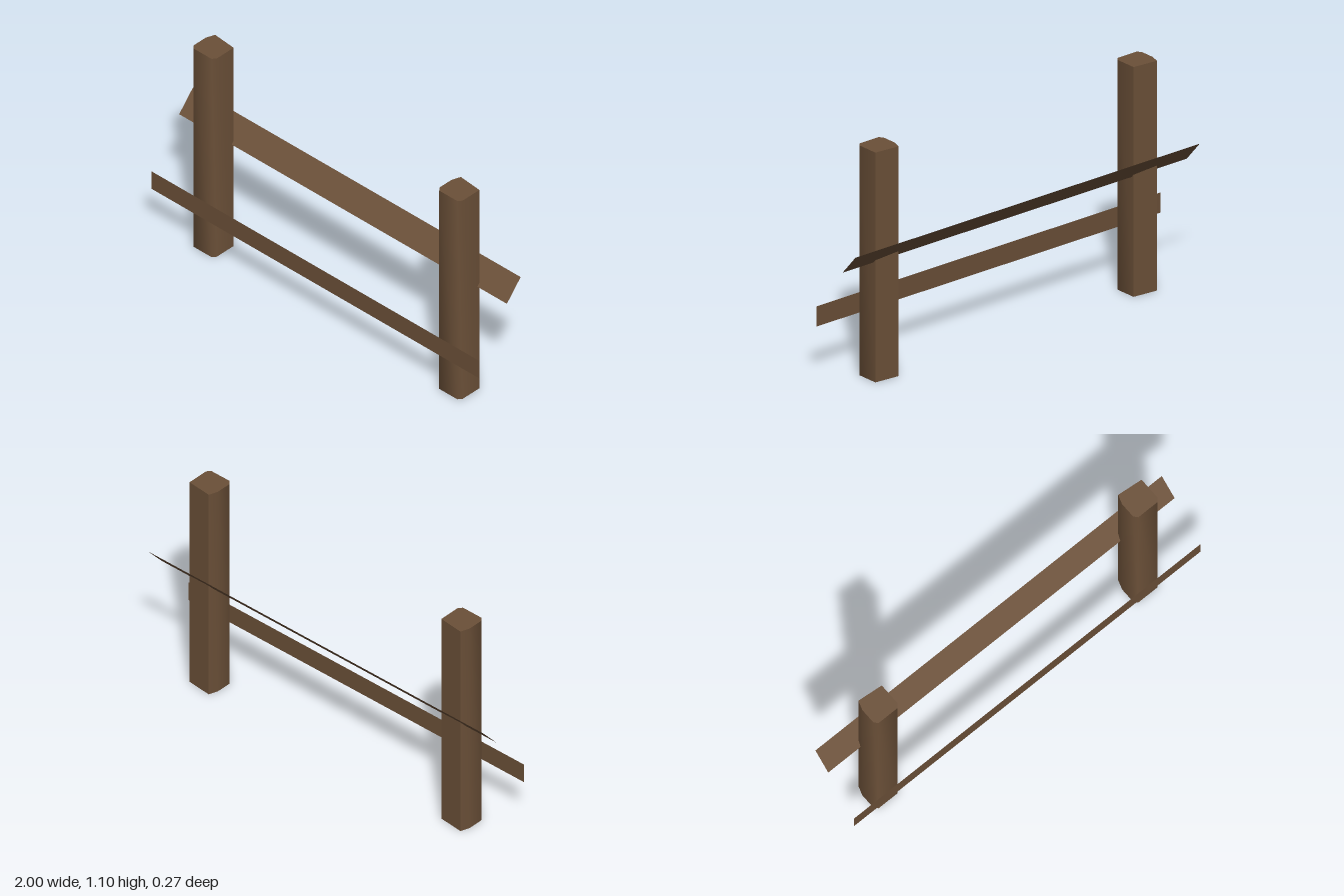
import * as THREE from 'three';
import { toCreasedNormals } from 'three/addons/utils/BufferGeometryUtils.js';

const wood = new THREE.MeshStandardMaterial({ color: 0x6b5038 });
const plankWood = new THREE.MeshStandardMaterial({ color: 0x6b5038, side: THREE.DoubleSide });

// Upright post: slightly uneven square section with worn corners
function makePost(x, name) {
  const section = [
    [-0.055, 0.07], [-0.07, 0.025], [-0.07, -0.05], [-0.055, -0.068],
    [0.055, -0.068], [0.07, -0.05], [0.07, 0.058],
  ];
  const shape = new THREE.Shape(section.map(([px, py]) => new THREE.Vector2(px, py)));
  const geo = new THREE.ExtrudeGeometry(shape, { depth: 1.1, bevelEnabled: false });
  geo.rotateX(-Math.PI / 2); // section y becomes -z, depth becomes height
  const post = new THREE.Mesh(toCreasedNormals(geo, Math.PI / 3), wood);
  post.position.x = x;
  post.name = name;
  return post;
}

// Thin plank spanning the posts, from a lower edge (y, z) to an upper edge (y, z)
function makeRail([y0, z0], [y1, z1], name) {
  const height = Math.hypot(y1 - y0, z1 - z0);
  const rail = new THREE.Mesh(new THREE.PlaneGeometry(2, height, 2, 1), plankWood);
  rail.position.set(0, (y0 + y1) / 2, (z0 + z1) / 2);
  rail.rotation.x = Math.atan2(z1 - z0, y1 - y0);
  rail.name = name;
  return rail;
}

export function createModel() {
  const fence = new THREE.Group();
  fence.name = 'fence';
  fence.add(
    makePost(0.75, 'leftPost'),
    makePost(-0.75, 'rightPost'),
    // Upper rail leans back behind the posts, lower rail stands upright in front
    makeRail([0.57, -0.045], [0.67, -0.133], 'upperRail'),
    makeRail([0.255, 0.133], [0.352, 0.133], 'lowerRail'),
  );
  return fence;
}
